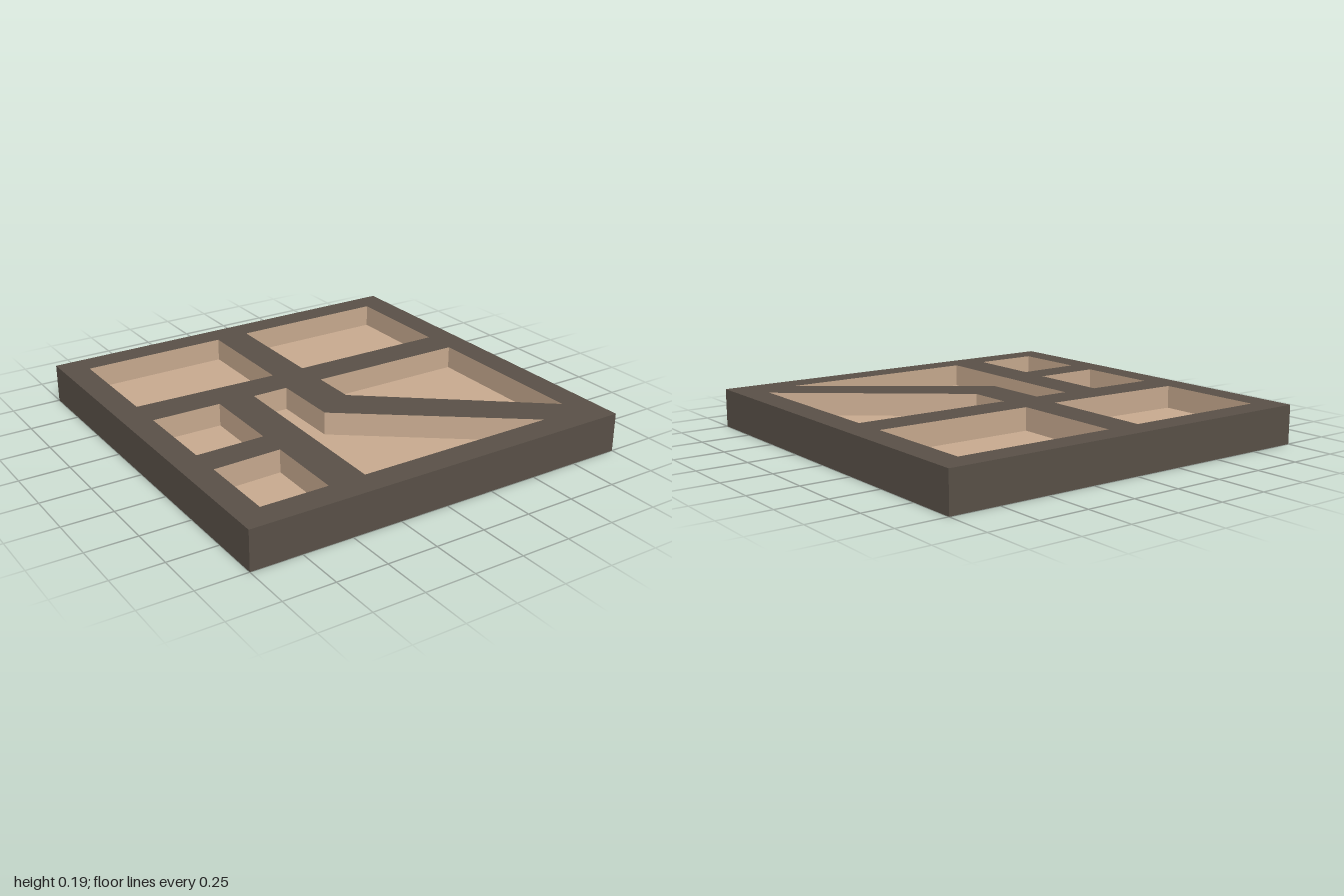
import * as THREE from 'three';

const TOP = 0.195, FLOOR = 0.08;

// Recess outlines as [x, z] corners
const recesses = {
  backRightRecess: [[-0.87, -0.87], [-0.12, -0.87], [-0.125, -0.28], [-0.87, -0.305]],
  backLeftRecess: [[0.055, -0.87], [0.865, -0.87], [0.865, -0.275], [0.05, -0.28]],
  middleRightRecess: [[-0.87, -0.125], [-0.52, -0.12], [-0.525, 0.305], [-0.87, 0.31]],
  frontRightRecess: [[-0.87, 0.47], [-0.53, 0.46], [-0.535, 0.865], [-0.87, 0.865]],
  frontCentreRecess: [[-0.335, -0.11], [-0.15, -0.11], [-0.15, 0.24], [0.67, 0.865], [-0.35, 0.865]],
  frontLeftRecess: [[0.05, -0.105], [0.865, -0.1], [0.865, 0.78], [0.05, 0.125]],
};
const border = [[-1, -1], [1, -1], [1, 1], [-1, 1]];

const toPoints = (outline) => outline.map(([x, z]) => new THREE.Vector2(x, -z));

// Flat sheet lying at height y
function sheet(outline, y, holes = []) {
  const shape = new THREE.Shape(toPoints(outline));
  shape.holes = holes.map((h) => new THREE.Path(toPoints(h)));
  return new THREE.ShapeGeometry(shape).rotateX(-Math.PI / 2).translate(0, y, 0);
}

// Upright band following an outline; inward turns its faces to the middle
function band(outline, y0, y1, inward) {
  const positions = [];
  outline.forEach(([ax, az], i) => {
    const [bx, bz] = outline[(i + 1) % outline.length];
    const a0 = [ax, y0, az], a1 = [ax, y1, az], b0 = [bx, y0, bz], b1 = [bx, y1, bz];
    const corners = inward ? [a0, b0, b1, a0, b1, a1] : [a0, b1, b0, a0, a1, b1];
    positions.push(...corners.flat());
  });
  const geometry = new THREE.BufferGeometry();
  geometry.setAttribute('position', new THREE.Float32BufferAttribute(positions, 3));
  geometry.computeVertexNormals();
  return geometry;
}

export function createModel() {
  const frame = new THREE.MeshStandardMaterial({ color: 0x5a5148, side: THREE.DoubleSide });
  frame.name = 'dark frame';
  const lining = new THREE.MeshStandardMaterial({ color: 0xc9ab90, side: THREE.DoubleSide });
  lining.name = 'tan lining';

  const model = new THREE.Group();
  model.name = 'partitionedTray';
  const add = (parent, name, geometry, material) => {
    const mesh = new THREE.Mesh(geometry, material);
    mesh.name = name;
    parent.add(mesh);
  };

  // Hollow shell, open underneath
  add(model, 'topPlate', sheet(border, TOP, Object.values(recesses)), frame);
  add(model, 'outerWalls', band(border, 0, TOP, false), frame);

  // Sunken compartments
  for (const [name, outline] of Object.entries(recesses)) {
    const group = new THREE.Group();
    group.name = name;
    add(group, 'recessFloor', sheet(outline, FLOOR), lining);
    add(group, 'recessWalls', band(outline, FLOOR, TOP, true), lining);
    model.add(group);
  }
  return model;
}
